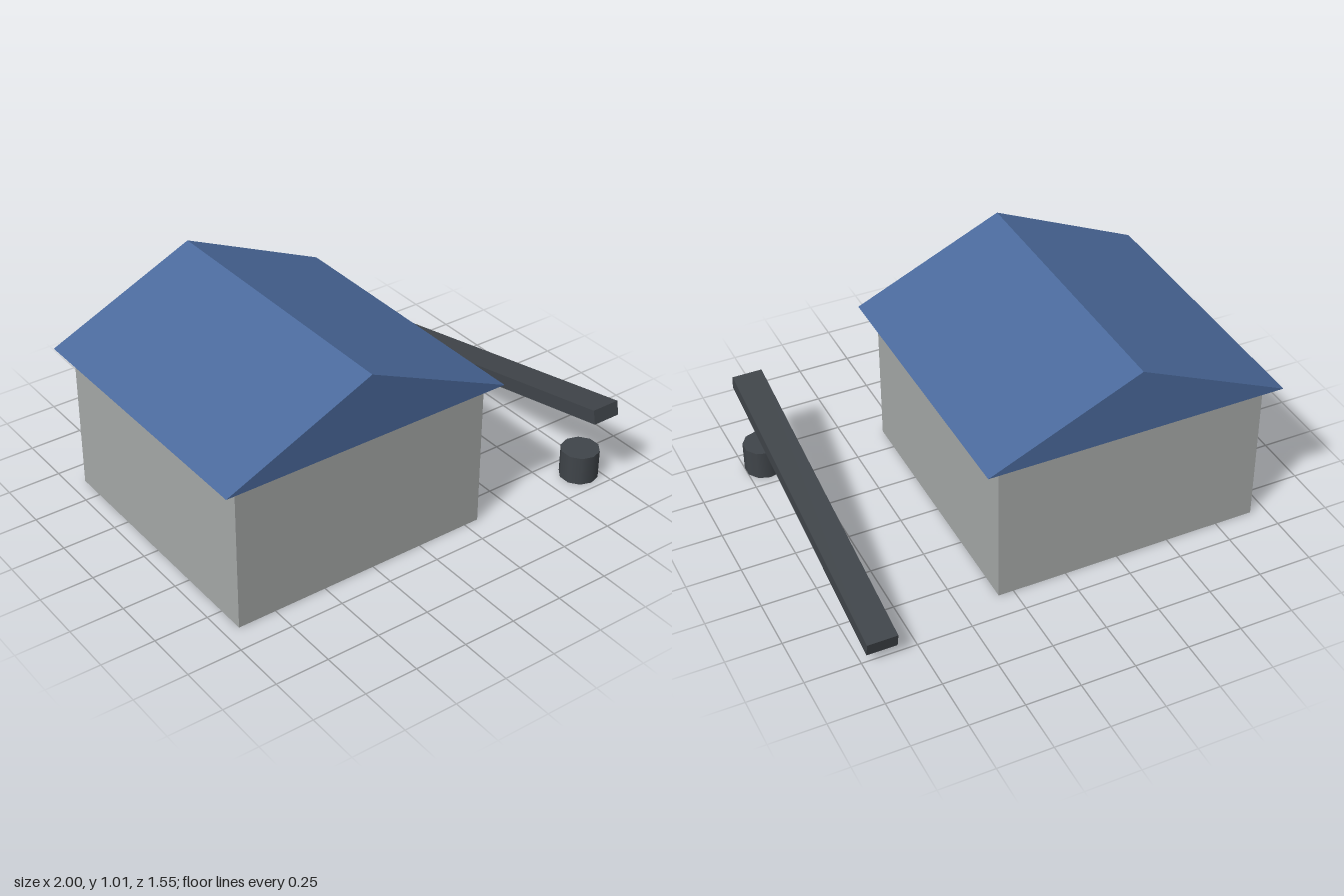
import * as THREE from 'three';

export function createModel() {
  const model = new THREE.Group();
  const wallGrey = new THREE.MeshStandardMaterial({ name: 'wallGrey', color: 0xa6a9a8 });
  const roofBlue = new THREE.MeshStandardMaterial({ name: 'roofBlue', color: 0x4a699b });
  const charcoal = new THREE.MeshStandardMaterial({ name: 'charcoal', color: 0x40454a });

  const add = (name, geometry, material, x, y, z) => {
    const mesh = new THREE.Mesh(geometry, material);
    mesh.name = name;
    mesh.position.set(x, y, z);
    model.add(mesh);
    return mesh;
  };

  // House body
  const houseX = -0.305;
  add('walls', new THREE.BoxGeometry(1.25, 0.7, 1.26), wallGrey, houseX, 0.35, 0);

  // Solid gable roof with overhanging eaves, ridge along z
  const gable = new THREE.Shape([
    new THREE.Vector2(-0.695, 0),
    new THREE.Vector2(0.695, 0),
    new THREE.Vector2(0, 0.31),
  ]);
  const roof = new THREE.ExtrudeGeometry(gable, { depth: 1.36, bevelEnabled: false });
  add('roof', roof, roofBlue, houseX, 0.701, -0.68);

  // Tilted beam, rising towards the front
  const beam = add('beam', new THREE.BoxGeometry(0.138, 0.067, 1.575), charcoal, 0.912, 0.245, 0);
  beam.rotation.x = -0.208;

  // Short round post below the raised end
  add('post', new THREE.CylinderGeometry(0.0895, 0.0895, 0.14, 10), charcoal, 0.914, 0.07, 0.628);

  return model;
}
